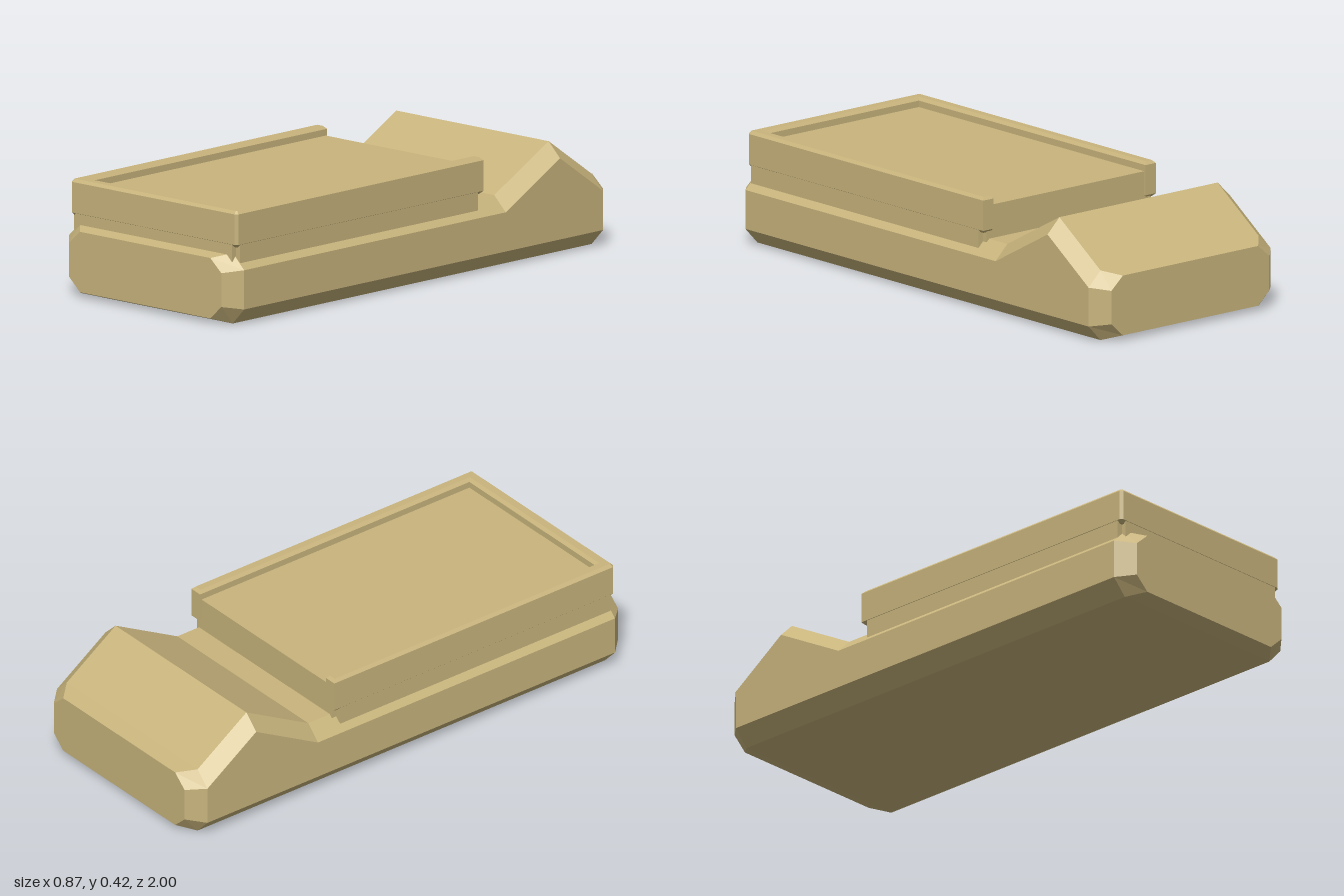
import * as THREE from 'three';

const material = new THREE.MeshStandardMaterial({ color: 0xc8b47c, flatShading: true });

function addMesh(group, name, geometry) {
  const mesh = new THREE.Mesh(geometry, material);
  mesh.name = name;
  group.add(mesh);
  return mesh;
}

// Box given by half width and its y and z limits
function slab(halfWidth, y0, y1, z0, z1) {
  return new THREE.BoxGeometry(2 * halfWidth, y1 - y0, z1 - z0)
    .translate(0, (y0 + y1) / 2, (z0 + z1) / 2);
}

// Eight-sided rings, counterclockwise seen from the front, joined back to front
function loftBody(sections) {
  const positions = [], index = [], n = 8;
  for (const [z, outer, inner, bottom, low, side, top] of sections) {
    const ring = [
      [-inner, bottom], [inner, bottom], [outer, low], [outer, side],
      [inner, top], [-inner, top], [-outer, side], [-outer, low],
    ];
    for (const [x, y] of ring) positions.push(x, y, z);
  }
  const last = sections.length - 1;
  for (let i = 0; i < last; i++) {
    for (let j = 0; j < n; j++) {
      const a = i * n + j, b = i * n + (j + 1) % n;
      index.push(a, b, b + n, a, b + n, a + n);
    }
  }
  for (let j = 1; j < n - 1; j++) {
    index.push(0, j + 1, j);
    index.push(last * n, last * n + j, last * n + j + 1);
  }
  const indexed = new THREE.BufferGeometry();
  indexed.setAttribute('position', new THREE.Float32BufferAttribute(positions, 3));
  indexed.setIndex(index);
  const geometry = indexed.toNonIndexed();
  geometry.computeVertexNormals();
  return geometry;
}

// U-shaped rim, open at the back, with chamfered edges
function trayRim() {
  const w = 0.415, inner = 0.365, front = 0.957, back = -0.337, c = 0.01, bevel = 0.011;
  const plan = [
    [-w, back], [-inner, back], [-inner, 0.905], [inner, 0.905], [inner, back], [w, back],
    [w, front - c], [w - c, front], [-w + c, front], [-w, front - c],
  ];
  const shape = new THREE.Shape(plan.map(([x, z]) => new THREE.Vector2(x, z)));
  const height = 0.135;
  return new THREE.ExtrudeGeometry(shape, {
    depth: height - 2 * bevel, bevelEnabled: true, bevelSegments: 1,
    bevelSize: bevel, bevelThickness: bevel, bevelOffset: -bevel,
  }).rotateX(Math.PI / 2).translate(0, 0.42 - bevel, 0);
}

export function createModel() {
  const model = new THREE.Group();
  model.name = 'wedgeBackedTrayBase';

  // Chamfered base with a raised ridge at the back
  // Each row: z, outer and inner half width, bottom, low side, high side, top
  addMesh(model, 'base', loftBody([
    [-1.0, 0.38, 0.325, 0.02, 0.07, 0.195, 0.243],
    [-0.94, 0.437, 0.38, 0, 0.06, 0.205, 0.26],
    [-0.715, 0.437, 0.38, 0, 0.06, 0.36, 0.415],
    [-0.43, 0.437, 0.38, 0, 0.06, 0.205, 0.26],
    [0.94, 0.437, 0.38, 0, 0.06, 0.205, 0.26],
    [1.0, 0.38, 0.325, 0.02, 0.07, 0.195, 0.243],
  ]));

  // Tray: full-length core carrying the floor, wider skirt leaving corner notches, rim
  const tray = new THREE.Group();
  tray.name = 'tray';
  addMesh(tray, 'trayFloor', slab(0.392, 0.2, 0.385, -0.33, 0.956));
  addMesh(tray, 'traySkirt', slab(0.414, 0.2, 0.297, -0.31, 0.937));
  addMesh(tray, 'trayRim', trayRim());
  model.add(tray);

  return model;
}
